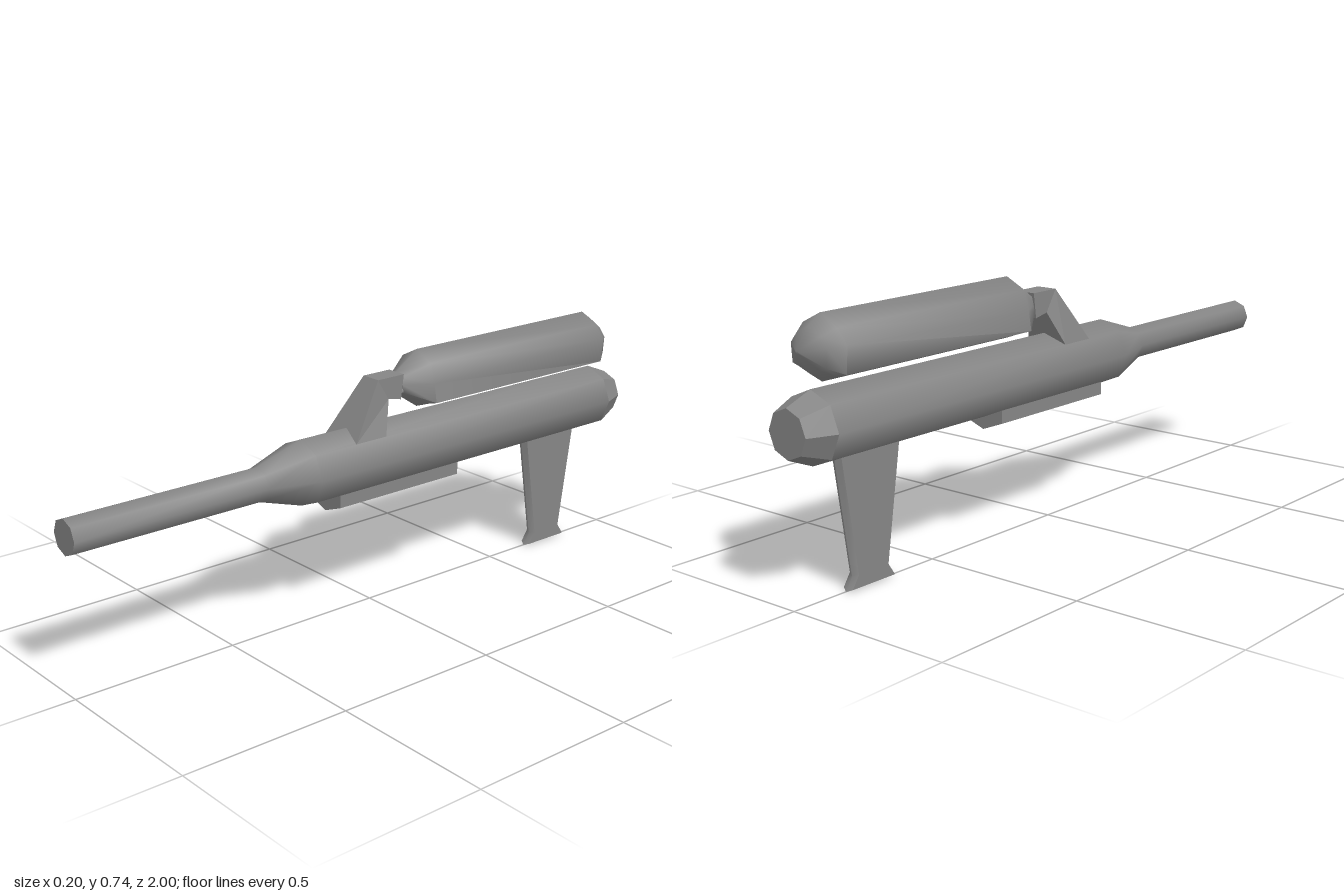
import * as THREE from 'three';
import { toCreasedNormals } from 'three/addons/utils/BufferGeometryUtils.js';

const material = new THREE.MeshStandardMaterial({ color: 0x858585 });

function addMesh(group, name, geometry, crease) {
  const mesh = new THREE.Mesh(toCreasedNormals(geometry, crease), material);
  mesh.name = name;
  group.add(mesh);
}

// Closed skin over rings of equal point count, capped at both ends.
function loft(rings) {
  const n = rings[0].length;
  const last = (rings.length - 1) * n;
  const index = [];
  for (let r = 0; r < rings.length - 1; r++) {
    for (let i = 0; i < n; i++) {
      const a = r * n + i, b = r * n + (i + 1) % n;
      index.push(a, b, b + n, a, b + n, a + n);
    }
  }
  for (let i = 1; i < n - 1; i++) {
    index.push(0, i + 1, i, last, last + i, last + i + 1);
  }
  const geometry = new THREE.BufferGeometry();
  geometry.setAttribute('position', new THREE.Float32BufferAttribute(rings.flat(2), 3));
  geometry.setIndex(index);
  return geometry;
}

// Eight-sided turned shape lying along z; profile is [radius, z] from back to front.
function turned(profile) {
  const points = profile.map(([r, z]) => new THREE.Vector2(r, z));
  return new THREE.LatheGeometry(points, 8).rotateX(Math.PI / 2).translate(0, 0.455, 0);
}

// Tank cross-section at z, scaled by s; the shoulder point sets how far its sides bulge.
function tankRing([z, s, shoulderX, shoulderY]) {
  const half = [[0.062, 0.057], [shoulderX, shoulderY], [0.088, -0.056], [0.053, -0.066]];
  const section = [
    [0, 0.088],
    ...half.map(([x, y]) => [-x, y]),
    [0, -0.085],
    ...half.slice().reverse(),
  ];
  return section.map(([x, y]) => [x * s, 0.65 + y * s, z]);
}

export function createModel() {
  const model = new THREE.Group();
  model.name = 'launcher';

  // Body, tapering into the long barrel
  addMesh(model, 'bodyAndBarrel', turned([
    [0.098, -0.92], [0.098, 0.25], [0.051, 0.4], [0.051, 1], [0, 1],
  ]), 0.9);

  // Faceted rear cap
  addMesh(model, 'rearCap', turned([[0, -1], [0.066, -1], [0.098, -0.92]]), 0.1);

  // Tank above the body: domed rear, narrower shoulders and a recessed neck in front
  addMesh(model, 'tank', loft([
    [-0.957, 0.05, 0.094, 0.018],
    [-0.92, 0.68, 0.094, 0.018],
    [-0.88, 1, 0.094, 0.018],
    [-0.18, 1, 0.078, 0],
    [-0.1, 0.38, 0.078, 0],
    [-0.13, 0.3, 0.078, 0],
  ].map(tankRing)), 1.25);

  // Bent bracket holding the tank: [half width, front/top y, z, back/bottom y, z]
  const bracket = [
    [0.069, 0.525, 0.105, 0.525, -0.005],
    [0.032, 0.683, -0.005, 0.62, -0.045],
    [0.032, 0.683, -0.102, 0.61, -0.092],
  ];
  addMesh(model, 'tankBracket', loft(bracket.map(([w, y1, z1, y2, z2]) =>
    [[w, y1, z1], [w, y2, z2], [-w, y2, z2], [-w, y1, z1]])), 0.2);

  // Keeled slab under the body
  const keel = new THREE.Shape([
    [-0.069, 0.39], [-0.069, 0.348], [0, 0.322], [0.069, 0.348], [0.069, 0.39],
  ].map(([x, y]) => new THREE.Vector2(x, y)));
  addMesh(model, 'underSlab', new THREE.ExtrudeGeometry(keel, { depth: 0.45, bevelEnabled: false })
    .translate(0, 0, -0.285), 0.2);

  // Thin grip with rounded edges and a flared foot: [y, front z, back z]
  const grip = [[0, -0.652, -0.823], [0.035, -0.675, -0.8], [0.38, -0.622, -0.852]];
  const w = 0.017, c = 0.009;
  addMesh(model, 'grip', loft(grip.map(([y, f, b]) => [
    [0, y, f], [w, y + 0.006, f - c], [w, y + 0.006, b + c],
    [0, y, b], [-w, y + 0.006, b + c], [-w, y + 0.006, f - c],
  ])), 1.03);

  return model;
}
